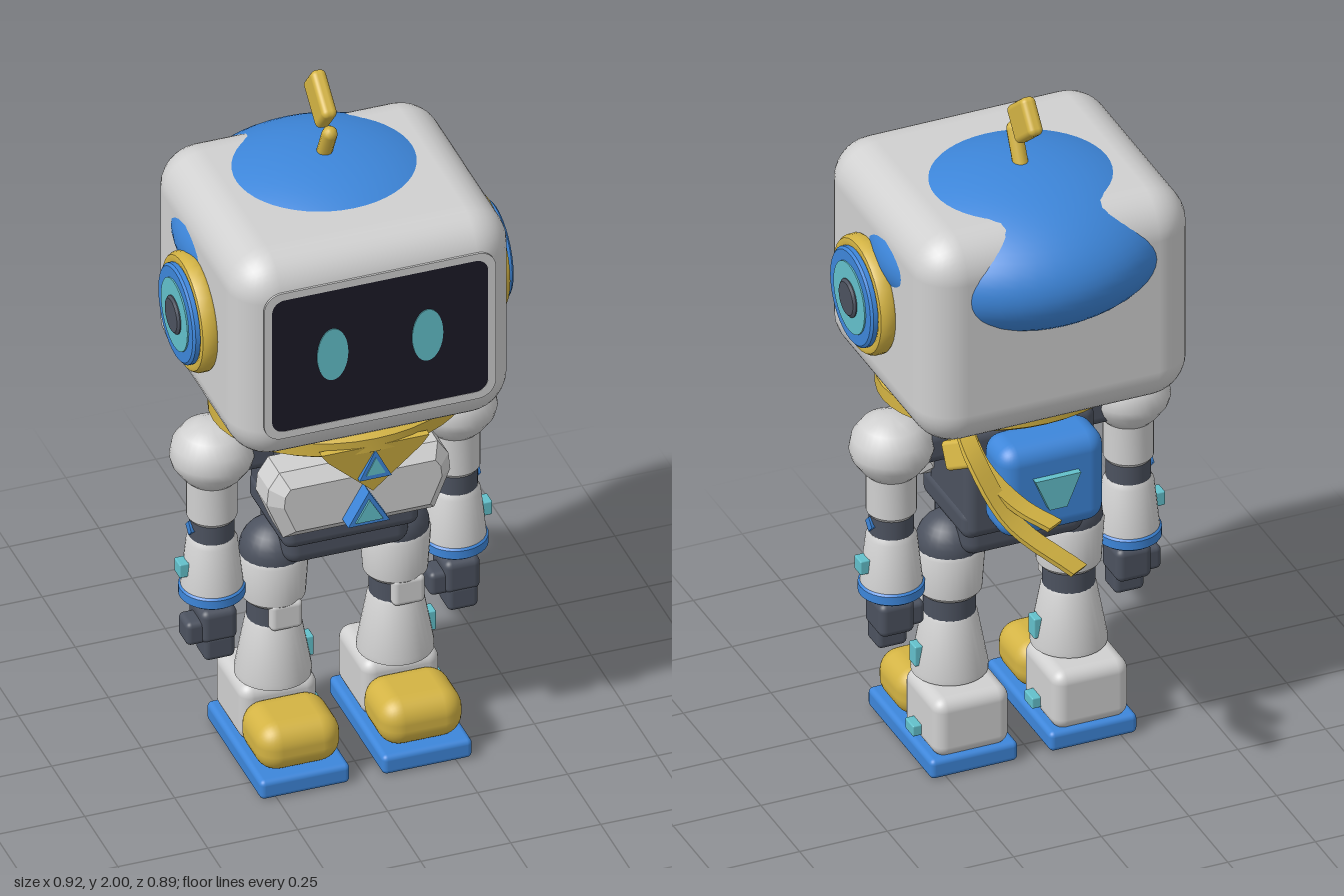
import * as THREE from 'three';
import { toCreasedNormals } from 'three/addons/utils/BufferGeometryUtils.js';
import { RoundedBoxGeometry } from 'three/addons/geometries/RoundedBoxGeometry.js';

const paint = (name, color, extra = {}) => Object.assign(new THREE.MeshStandardMaterial({ color, ...extra }), { name });

export function createModel() {
  const white = paint('shell white', 0xd0d0d0);
  const blue = paint('blue', 0x3d86da);
  const yellow = paint('yellow', 0xd3b343);
  const dark = paint('joint grey', 0x4c525f);
  const black = paint('screen black', 0x1b1a26);
  const cyan = paint('cyan', 0x63c0cb);

  const model = new THREE.Group();
  model.name = 'robot';

  // Helpers: each adds a named mesh to a parent
  const add = (parent, name, geo, mat, x = 0, y = 0, z = 0) => {
    const mesh = new THREE.Mesh(geo, mat);
    mesh.name = name;
    mesh.position.set(x, y, z);
    parent.add(mesh);
    return mesh;
  };
  const group = (parent, name, x = 0, y = 0, z = 0) => {
    const g = new THREE.Group();
    g.name = name;
    g.position.set(x, y, z);
    parent.add(g);
    return g;
  };
  const rbox = (w, h, d, r) => new RoundedBoxGeometry(w, h, d, 4, r);
  const lathe = (pts, sides = 32) => toCreasedNormals(
    new THREE.LatheGeometry(pts.map(p => new THREE.Vector2(...p)), sides), 0.6);
  const shapeOf = pts => new THREE.Shape(pts.map(p => new THREE.Vector2(...p)));
  const plate = (shape, depth, bevel = 0) => new THREE.ExtrudeGeometry(shape, {
    depth, curveSegments: 8, bevelEnabled: bevel > 0, bevelSize: bevel, bevelThickness: bevel, bevelOffset: -bevel, bevelSegments: 1,
  });
  const roundRect = (w, h, r) => {
    const s = new THREE.Shape();
    s.absarc(w - r, h - r, r, 0, Math.PI / 2);
    s.absarc(r - w, h - r, r, Math.PI / 2, Math.PI);
    s.absarc(r - w, r - h, r, Math.PI, Math.PI * 1.5);
    s.absarc(w - r, r - h, r, Math.PI * 1.5, Math.PI * 2);
    return s;
  };
  const triangle = (w, h) => shapeOf([[-w, -h], [w, -h], [0, h]]);

  // Head with blue cap bulging through the top and back
  const head = group(model, 'head');
  add(head, 'headShell', rbox(0.775, 0.63, 0.7, 0.115), white, 0, 1.42, 0.09);
  const cap = add(head, 'headCap', new THREE.SphereGeometry(1, 48, 32), blue, 0, 1.568, 0.02);
  cap.scale.set(0.404, 0.21, 0.372);

  // Face screen, rim and eyes
  const rim = roundRect(0.322, 0.228, 0.05);
  rim.holes.push(roundRect(0.3, 0.206, 0.035));
  add(head, 'screenRim', plate(rim, 0.006), white, 0, 1.426, 0.437);
  add(head, 'screen', plate(roundRect(0.3, 0.206, 0.035), 0.006), black, 0, 1.426, 0.436);
  for (const s of [-1, 1]) {
    const eye = add(head, 'eye', new THREE.CylinderGeometry(1, 1, 0.006, 32), cyan, s * 0.132, 1.432, 0.442);
    eye.rotation.x = Math.PI / 2;
    eye.scale.set(0.043, 1, 0.08);
  }

  // Ear discs
  for (const s of [-1, 1]) {
    const ear = group(head, 'ear', s * 0.38, 1.42, 0.11);
    ear.rotation.z = -s * Math.PI / 2;
    add(ear, 'earRing', lathe([[0, 0], [0.155, 0], [0.163, 0.012], [0.163, 0.035], [0.156, 0.047], [0.145, 0.05], [0.13, 0.045]]), yellow);
    add(ear, 'earDisc', lathe([[0.137, 0], [0.137, 0.06], [0.13, 0.066], [0, 0.066]]), blue);
    add(ear, 'earGlow', lathe([[0.1, 0], [0.1, 0.07], [0, 0.07]]), cyan);
    add(ear, 'earHub', lathe([[0.053, 0], [0.053, 0.073], [0.046, 0.079], [0, 0.079]]), dark);
  }

  // Antenna
  const stalk = add(head, 'antennaStalk', new THREE.CapsuleGeometry(0.021, 0.1, 4, 12), yellow, 0, 1.81, 0.04);
  stalk.rotation.x = 0.46;
  const tip = add(head, 'antennaTip', rbox(0.042, 0.105, 0.135, 0.016), yellow, 0, 1.92, -0.008);
  tip.rotation.x = 0.69;

  // Scarf: collar, front kerchief, knot and two trailing tails
  const scarf = group(model, 'scarf');
  const collar = add(scarf, 'scarfCollar', lathe([[0, 1.06], [0.93, 1.06], [1, 1.075], [1, 1.115], [0.85, 1.14], [0, 1.14]], 40), yellow, 0, 0, 0.125);
  collar.scale.set(0.348, 1, 0.285);
  add(scarf, 'scarfNeck', lathe([[0.1, 1.0], [0.13, 1.02], [0.14, 1.08]]), yellow, 0, 0, 0.06);
  const kerchief = add(scarf, 'kerchief', plate(shapeOf([[-0.15, 0.03], [-0.13, 0], [0, -0.125], [0.13, 0], [0.15, 0.03]]), 0.018), yellow, 0, 1.065, 0.387);
  kerchief.rotation.x = 0.12;
  add(scarf, 'pinBase', plate(triangle(0.045, 0.044), 0.015), blue, 0, 1.034, 0.395);
  add(scarf, 'pinGlow', plate(triangle(0.027, 0.026), 0.006), cyan, 0, 1.03, 0.407);
  const knot = add(scarf, 'scarfKnot', rbox(0.06, 0.08, 0.09, 0.012), yellow, 0.22, 1.005, -0.1);
  knot.rotation.set(0.5, 0.5, 0);
  const ribbon = (pts, w) => {
    const curve = new THREE.CatmullRomCurve3(pts.map(p => new THREE.Vector3(...p)));
    const across = new THREE.Vector3(0.86, 0, -0.5);
    const geo = new THREE.BoxGeometry(w, 0.014, 1, 1, 1, 16);
    const pos = geo.attributes.position;
    for (let i = 0; i < pos.count; i++) {
      const t = pos.getZ(i) + 0.5;
      const normal = curve.getTangent(t).cross(across).normalize();
      const p = curve.getPoint(t).addScaledVector(across, pos.getX(i)).addScaledVector(normal, pos.getY(i));
      pos.setXYZ(i, p.x, p.y, p.z);
    }
    return toCreasedNormals(geo, 0.6);
  };
  add(scarf, 'scarfTail', ribbon([[0.22, 1.1, -0.09], [0.23, 1.05, -0.2], [0.17, 0.9, -0.31], [0.03, 0.78, -0.425]], 0.06), yellow);
  add(scarf, 'scarfTail', ribbon([[0.2, 1.05, -0.08], [0.2, 1.0, -0.2], [0.14, 0.93, -0.29], [0.07, 0.89, -0.36]], 0.055), yellow);

  // Torso, pelvis and chest plate
  const body = group(model, 'body');
  add(body, 'neck', new THREE.CylinderGeometry(0.1, 0.1, 0.12, 24), dark, 0, 1.05, 0.08);
  add(body, 'torso', rbox(0.37, 0.33, 0.26, 0.03), dark, 0, 0.86, 0.075);
  add(body, 'waist', rbox(0.38, 0.09, 0.29, 0.03), dark, 0, 0.735, 0.095);
  add(body, 'pelvis', rbox(0.35, 0.13, 0.23, 0.04), dark, 0, 0.68, 0.095);
  const outline = [[-0.21, 0.77], [0.21, 0.77], [0.255, 0.88], [0.25, 0.93], [0.22, 0.975], [-0.22, 0.975], [-0.25, 0.93], [-0.255, 0.88]];
  add(body, 'chestPlate', plate(shapeOf(outline), 0.085, 0.035), white, 0, 0, 0.195);
  add(body, 'chestBadge', plate(triangle(0.058, 0.05), 0.05), blue, 0, 0.865, 0.31);
  add(body, 'chestGlow', plate(triangle(0.038, 0.033), 0.007), cyan, 0, 0.86, 0.359);

  // Backpack
  add(body, 'backpack', rbox(0.3, 0.275, 0.15, 0.05), blue, 0, 0.898, -0.13);
  add(body, 'backpackLight', plate(shapeOf([[-0.025, 0.85], [0.025, 0.85], [0.065, 0.945], [-0.065, 0.945]]), 0.025), cyan, 0, 0, -0.224);

  // Arms
  for (const s of [-1, 1]) {
    const arm = group(model, s > 0 ? 'leftArm' : 'rightArm', s * 0.338, 0, 0.09);
    add(arm, 'shoulder', lathe([[0.06, 0.865], [0.08, 0.885], [0.105, 0.92], [0.112, 0.945], [0.105, 0.985], [0.08, 1.02], [0.045, 1.037], [0, 1.042]]), white);
    add(arm, 'shoulderJoint', rbox(0.2, 0.1, 0.1, 0.03), dark, -s * 0.14, 0.94, 0);
    add(arm, 'upperArm', lathe([[0, 0.75], [0.06, 0.75], [0.067, 0.76], [0.067, 0.9]]), white);
    add(arm, 'elbow', new THREE.CylinderGeometry(0.06, 0.06, 0.08, 24), dark, 0, 0.72, 0);
    const stud = add(arm, 'elbowStud', new THREE.CylinderGeometry(0.022, 0.022, 0.01, 4), blue, s * 0.06, 0.725, 0);
    stud.rotation.z = Math.PI / 2;
    add(arm, 'forearm', lathe([[0, 0.54], [0.083, 0.54], [0.068, 0.68], [0.06, 0.695], [0, 0.695]]), white);
    add(arm, 'cuff', lathe([[0, 0.505], [0.078, 0.505], [0.088, 0.513], [0.088, 0.538], [0.08, 0.546], [0, 0.546]]), blue);
    add(arm, 'armLight', rbox(0.03, 0.042, 0.042, 0.004), cyan, s * 0.082, 0.607, 0);
    // Hand, with the thumb on the same side of both
    add(arm, 'wrist', new THREE.CylinderGeometry(0.035, 0.035, 0.06, 16), dark, -0.01, 0.49, 0);
    add(arm, 'palm', rbox(0.1, 0.1, 0.115, 0.02), dark, 0, 0.44, 0.01);
    add(arm, 'fingers', rbox(0.085, 0.075, 0.08, 0.015), dark, 0, 0.375, 0.027);
    add(arm, 'thumb', rbox(0.055, 0.07, 0.075, 0.015), dark, -0.062, 0.425, 0.02);
  }

  // Legs, with the lights on the same side of both
  for (const s of [-1, 1]) {
    const leg = group(model, s > 0 ? 'leftLeg' : 'rightLeg', s * 0.17, 0, 0.095);
    add(leg, 'hip', new THREE.SphereGeometry(0.09, 24, 16), dark, 0, 0.615, 0);
    add(leg, 'thigh', lathe([[0, 0.47], [0.078, 0.47], [0.086, 0.48], [0.094, 0.6], [0.086, 0.615], [0, 0.615]]), white);
    add(leg, 'knee', new THREE.CylinderGeometry(0.07, 0.07, 0.1, 24), dark, 0, 0.44, 0);
    add(leg, 'kneePad', rbox(0.09, 0.085, 0.05, 0.015), white, 0.01, 0.445, 0.06);
    add(leg, 'shin', lathe([[0, 0.23], [0.102, 0.23], [0.102, 0.245], [0.074, 0.4], [0.066, 0.415], [0, 0.415]]), white);
    add(leg, 'shinLight', rbox(0.03, 0.06, 0.04, 0.004), cyan, 0.092, 0.293, 0);
    add(leg, 'ankle', new THREE.CylinderGeometry(0.06, 0.06, 0.06, 20), dark, 0, 0.225, -0.03);
    add(leg, 'heel', rbox(0.215, 0.175, 0.22, 0.035), white, 0, 0.138, -0.05);
    add(leg, 'toeCap', rbox(0.232, 0.14, 0.2, 0.06), yellow, 0, 0.123, 0.135);
    add(leg, 'sole', rbox(0.25, 0.058, 0.415, 0.015), blue, 0, 0.029, 0.042);
    add(leg, 'footLight', rbox(0.03, 0.032, 0.052, 0.004), cyan, 0.117, 0.095, -0.037);
  }

  return model;
}
